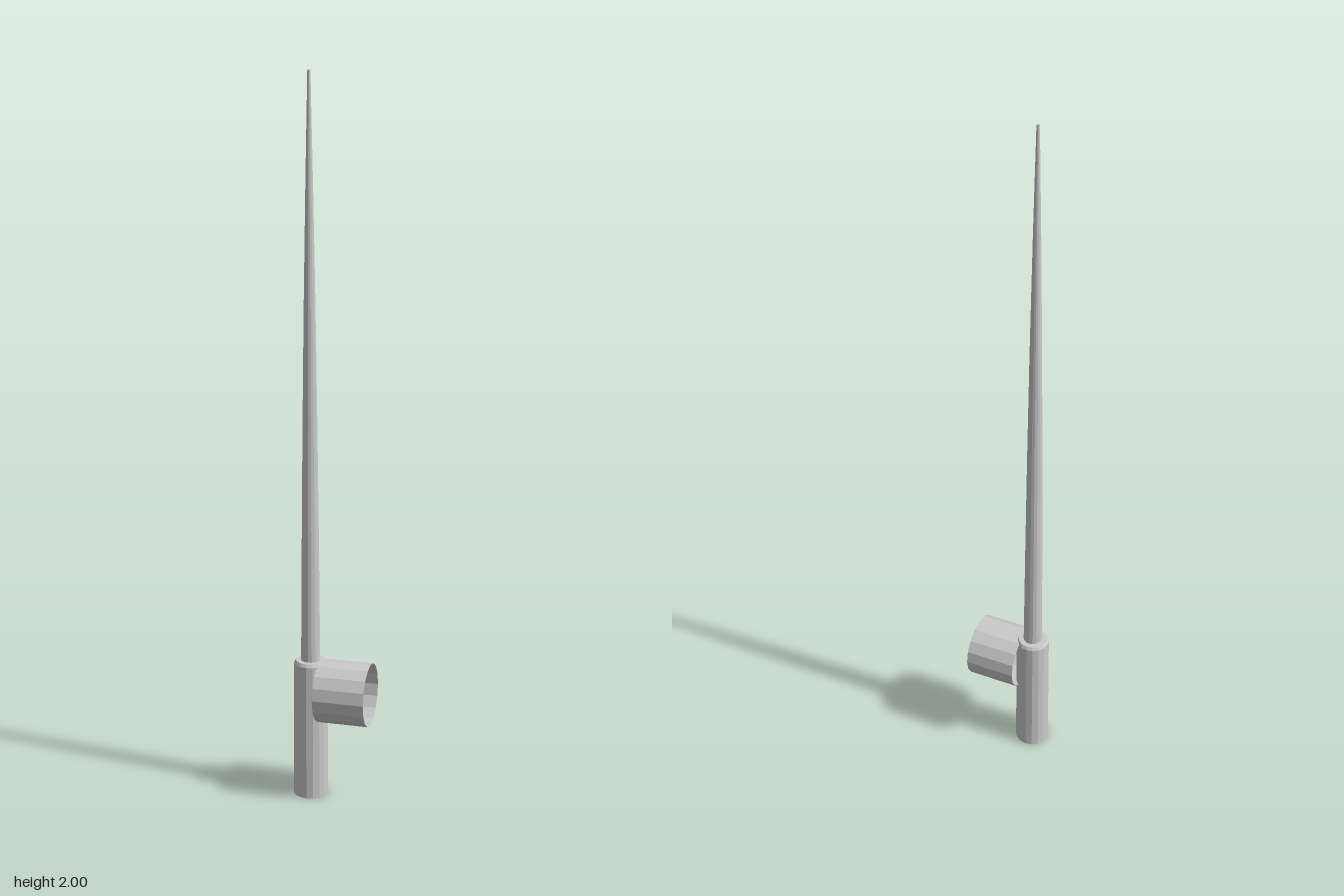
import * as THREE from 'three';

const SIDES = 16;
const AXIS_X = -0.062;

export function createModel() {
  const group = new THREE.Group();
  const material = new THREE.MeshStandardMaterial({ color: 0xcccccc, flatShading: true, side: THREE.DoubleSide });

  const add = (name, geometry, x, y) => {
    const mesh = new THREE.Mesh(geometry, material);
    mesh.name = name;
    mesh.position.set(x, y, 0);
    group.add(mesh);
    return mesh;
  };
  const lathe = (points) =>
    new THREE.LatheGeometry(points.map(([r, y]) => new THREE.Vector2(r, y)), SIDES);

  // Grip: plain cylinder with a small bevel on its top edge
  add('grip', lathe([[0, 0], [0.049, 0], [0.047, 0.388], [0.042, 0.397], [0, 0.397]]), AXIS_X, 0);

  // Slender shaft tapering to a blunt tip
  add('shaft', lathe([
    [0.027, 0.39], [0.024, 0.72], [0.0205, 1.05], [0.016, 1.38], [0.01, 1.72], [0.004, 2], [0, 2],
  ]), AXIS_X, 0);

  // Open ring lying sideways against the grip
  const ring = add('sideRing', new THREE.CylinderGeometry(0.0885, 0.0885, 0.145, SIDES, 1, true), 0.0385, 0.309);
  ring.rotation.z = Math.PI / 2;

  return group;
}
